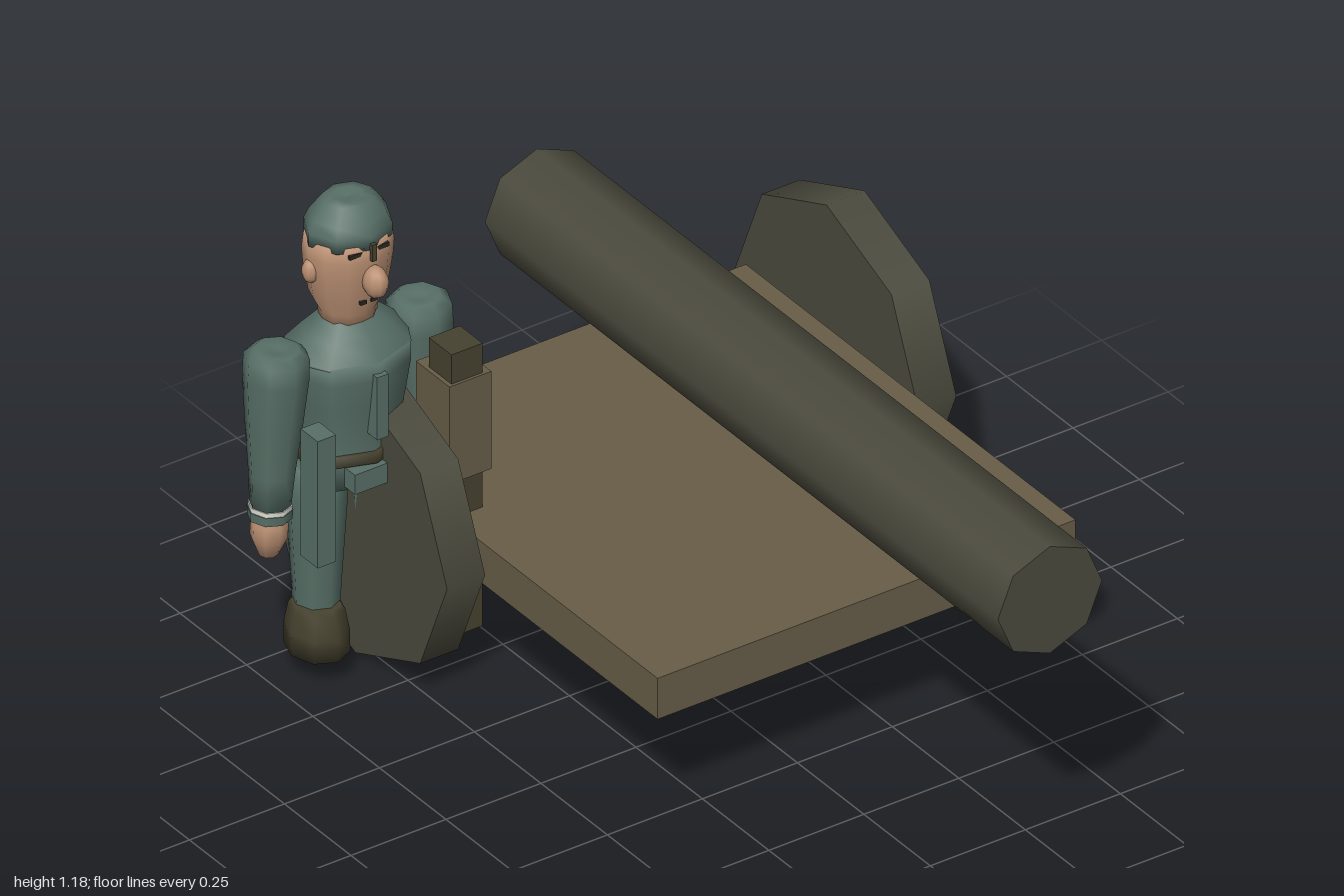
import * as THREE from 'three';

const mat = (name, color) => {
  const m = new THREE.MeshStandardMaterial({ color });
  m.name = name;
  return m;
};

export function createModel() {
  const iron = mat('dark iron', 0x4b4a3d);
  const wood = mat('wood', 0x675d47);
  const green = mat('uniform green', 0x576f66);
  const skin = mat('skin', 0xb98f72);
  const leather = mat('dark leather', 0x46422f);
  const black = mat('black', 0x2a2822);
  const white = mat('white', 0xdedcd2);

  const add = (parent, name, geo, material, x = 0, y = 0, z = 0) => {
    const m = new THREE.Mesh(geo, material);
    m.name = name;
    m.position.set(x, y, z);
    parent.add(m);
    return m;
  };
  // box given by its lower and upper corners
  const box = (parent, name, material, a, b) => add(parent, name,
    new THREE.BoxGeometry(b[0] - a[0], b[1] - a[1], b[2] - a[2]), material,
    (a[0] + b[0]) / 2, (a[1] + b[1]) / 2, (a[2] + b[2]) / 2);
  // turned part from [radius, height] points, flattened in depth
  const turned = (points, depth = 1, sides = 8) =>
    new THREE.LatheGeometry(points.map(p => new THREE.Vector2(...p)), sides).scale(1, 1, depth);
  const ball = (rx, ry, rz) => new THREE.SphereGeometry(1, 10, 8).scale(rx, ry, rz);

  const model = new THREE.Group();
  model.name = 'cannonAndGunner';

  // cannon: barrel, platform and two wheels
  const cannon = new THREE.Group();
  cannon.name = 'cannon';
  model.add(cannon);
  add(cannon, 'barrel', new THREE.CylinderGeometry(0.137, 0.137, 1.93, 8).rotateX(Math.PI / 2),
    iron, 0.14, 0.763, 0.035);
  box(cannon, 'platform', wood, [-0.41, 0.295, -0.93], [0.69, 0.4, 0.31]);
  for (const x of [-0.48, 0.76])
    add(cannon, 'wheel', new THREE.CylinderGeometry(0.345, 0.345, 0.1, 8).rotateZ(Math.PI / 2),
      iron, x, 0.345, -0.655);

  // gunner, built around his own vertical axis
  const man = new THREE.Group();
  man.name = 'gunner';
  man.position.set(-0.55, 0, -0.655);
  model.add(man);

  // head
  add(man, 'head', turned([[0, 0.87], [0.064, 0.87], [0.07, 0.91], [0.09, 0.95],
    [0.102, 1.02], [0.105, 1.06], [0.1, 1.1], [0, 1.11]], 0.86, 12), skin);
  add(man, 'cap', turned([[0, 1.088], [0.103, 1.088], [0.103, 1.12], [0.09, 1.145],
    [0.06, 1.183], [0.035, 1.185], [0, 1.178]], 0.87), green);
  add(man, 'nose', ball(0.028, 0.039, 0.034), skin, 0.004, 1.01, 0.098);
  for (const s of [-1, 1]) {
    add(man, 'ear', ball(0.02, 0.03, 0.02), skin, s * 0.098, 1.025, 0);
    box(man, 'eye', black, [s * 0.035 - 0.017, 1.076, 0.074], [s * 0.035 + 0.017, 1.086, 0.083]);
    box(man, 'mouth', black, [s * 0.014 - 0.008, 0.948, 0.073], [s * 0.014 + 0.008, 0.956, 0.081]);
  }
  box(man, 'capBadge', leather, [-0.005, 1.064, 0.091], [0.007, 1.107, 0.1]);
  box(man, 'badgePin', leather, [-0.004, 1.09, 0.07], [0.006, 1.098, 0.094]);

  // jacket, belt and pouches
  add(man, 'shoulders', turned([[0.055, 0.9], [0.075, 0.885], [0.11, 0.855], [0.152, 0.815],
    [0.148, 0.805]].reverse(), 0.8), green);
  add(man, 'jacket', turned([[0, 0.49], [0.122, 0.49], [0.122, 0.56], [0.122, 0.62],
    [0.137, 0.7], [0.148, 0.77], [0.148, 0.815], [0, 0.84]], 0.84), green);
  add(man, 'belt', turned([[0.118, 0.553], [0.13, 0.553], [0.13, 0.58], [0.118, 0.58]], 0.86), leather);
  box(man, 'jacketFront', green, [-0.017, 0.63, 0.08], [0.013, 0.79, 0.135]);
  for (const s of [-1, 1])
    box(man, 'pouch', green, [-0.065, 0.5, s * 0.1 - 0.02], [0.065, 0.55, s * 0.1 + 0.02]);

  // arms with cuffs and hands, legs with boots
  for (const s of [-1, 1]) {
    const arm = new THREE.Group();
    arm.name = s < 0 ? 'rightArm' : 'leftArm';
    arm.position.set(s * 0.187, 0.85, 0);
    arm.rotation.z = s * 0.045;
    man.add(arm);
    add(arm, 'sleeve', turned([[0, -0.385], [0.046, -0.385], [0.052, -0.3], [0.064, -0.18],
      [0.074, -0.06], [0.073, -0.01], [0.05, 0.008], [0.02, 0.002], [0, 0]]), green);
    add(arm, 'whiteBand', new THREE.CylinderGeometry(0.049, 0.049, 0.012, 8), white, 0, -0.388, 0);
    add(arm, 'cuff', new THREE.CylinderGeometry(0.051, 0.05, 0.022, 8), green, 0, -0.404, 0);
    add(arm, 'hand', turned([[0, -0.52], [0.022, -0.51], [0.042, -0.465], [0.042, -0.43],
      [0.03, -0.4]]), skin);

    add(man, 'leg', turned([[0.052, 0.16], [0.054, 0.22], [0.062, 0.35], [0.068, 0.45],
      [0.06, 0.53], [0, 0.54]], 1.05), green, s * 0.083, 0, 0);
    add(man, 'boot', turned([[0, 0.065], [0.068, 0.065], [0.067, 0.12], [0.058, 0.17],
      [0.05, 0.182], [0, 0.182]], 1.2), leather, s * 0.09, 0, 0.012);
  }

  // carried gear: rifle at his left, flat case at his right
  box(man, 'rifleBody', leather, [0.14, 0.095, 0.105], [0.222, 0.82, 0.19]);
  box(man, 'rifleGrip', wood, [0.13, 0.495, 0.07], [0.24, 0.745, 0.197]);
  box(man, 'case', green, [-0.21, 0.4, 0.123], [-0.162, 0.725, 0.187]);

  return model;
}
